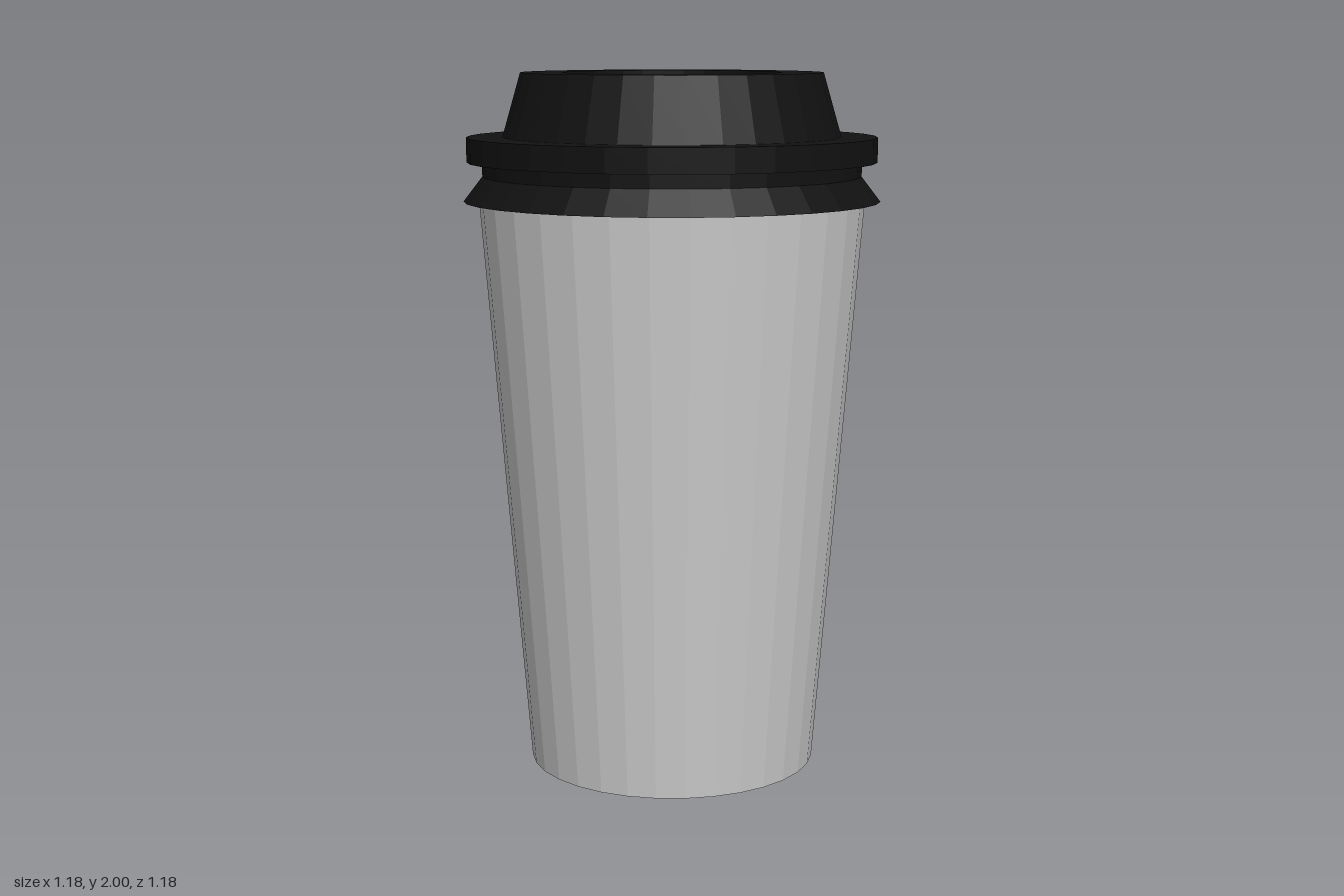
import * as THREE from 'three';

const SIDES = 32;

// Revolves a bottom-to-top profile of [radius, height] pairs into a faceted solid
function turned(name, profile, color) {
  const points = profile.map(([r, y]) => new THREE.Vector2(r, y));
  const material = new THREE.MeshStandardMaterial({ color, flatShading: true });
  const mesh = new THREE.Mesh(new THREE.LatheGeometry(points, SIDES), material);
  mesh.name = name;
  return mesh;
}

export function createModel() {
  const model = new THREE.Group();
  model.name = 'takeawayCup';

  // Tapered paper cup
  model.add(turned('cupBody', [[0, 0], [0.415, 0], [0.548, 1.64], [0, 1.64]], 0xcccccc));

  // Lid: flared skirt, waist, rim band, sloped dome and sunken top
  model.add(turned('lid', [
    [0, 1.64], [0.592, 1.64],
    [0.538, 1.71], [0.538, 1.75],
    [0.582, 1.75], [0.582, 1.82],
    [0.48, 1.82], [0.428, 2],
    [0.31, 2], [0.31, 1.92], [0, 1.92],
  ], 0x111111));

  return model;
}
